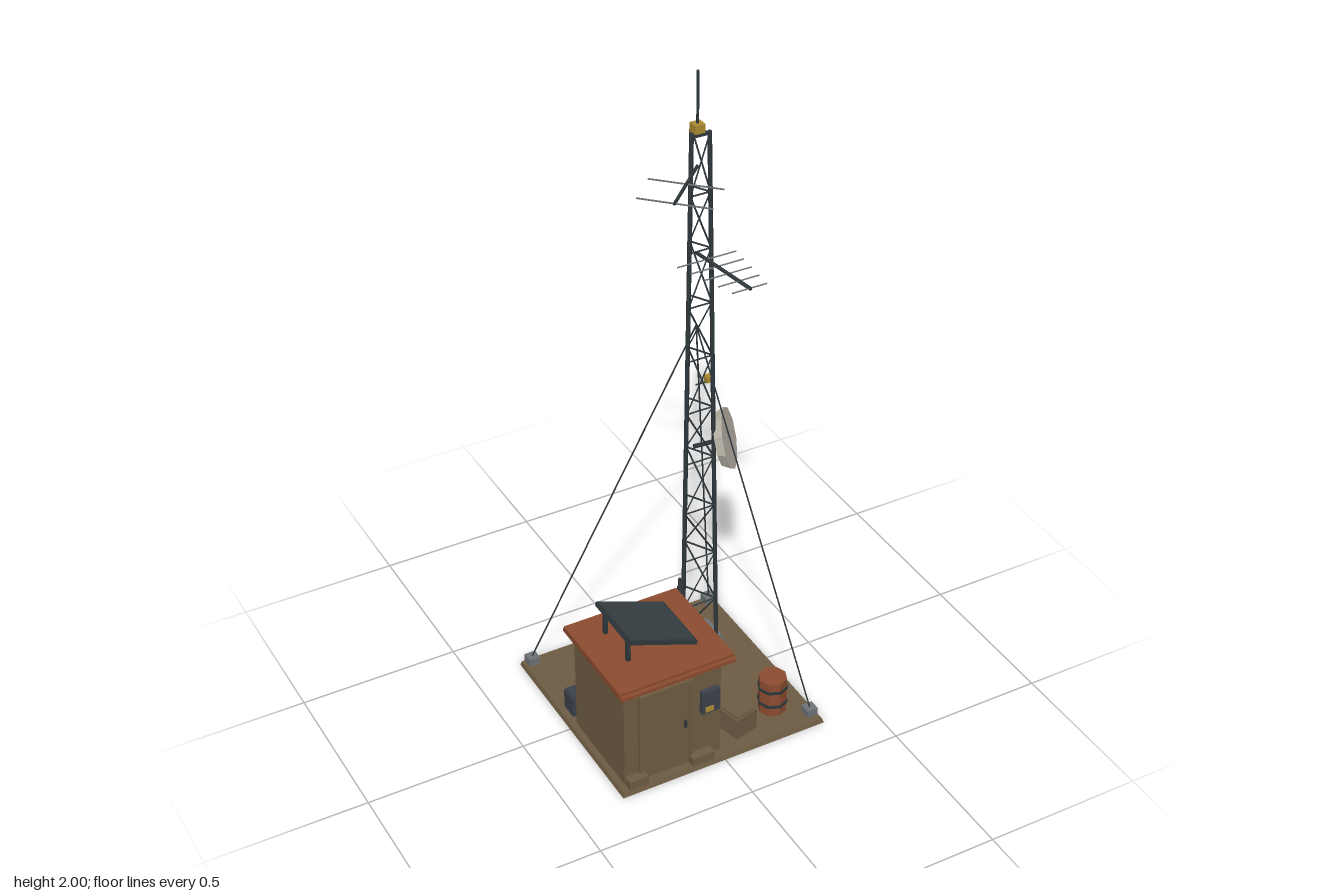
import * as THREE from 'three';

const mat = (name, color) => {
  const m = new THREE.MeshStandardMaterial({ color });
  m.name = name;
  return m;
};

export function createModel() {
  const earth = mat('earthBrown', 0x6e5c43);
  const rust = mat('rustOrange', 0x8c4c2f);
  const steel = mat('darkSteel', 0x2f373b);
  const panelGlass = mat('panelSlate', 0x394044);
  const slate = mat('slateBlue', 0x3c424c);
  const yellow = mat('warningYellow', 0xae8c32);
  const concrete = mat('concreteGrey', 0x6c7376);
  const dishWhite = mat('dishOffWhite', 0xbcb7aa);

  const model = new THREE.Group();
  model.name = 'radioStation';
  const V = (x, y, z) => new THREE.Vector3(x, y, z);
  const group = (name, parent = model) => {
    const g = new THREE.Group();
    g.name = name;
    parent.add(g);
    return g;
  };

  // Faceted mesh helper
  const add = (parent, name, geo, material, x = 0, y = 0, z = 0) => {
    const flat = geo.index ? geo.toNonIndexed() : geo;
    flat.computeVertexNormals();
    const m = new THREE.Mesh(flat, material);
    m.name = name;
    m.position.set(x, y, z);
    parent.add(m);
    return m;
  };
  // Box from its minimum and maximum corners
  const box = (parent, name, material, x0, x1, y0, y1, z0, z1) =>
    add(parent, name, new THREE.BoxGeometry(x1 - x0, y1 - y0, z1 - z0), material,
      (x0 + x1) / 2, (y0 + y1) / 2, (z0 + z1) / 2);
  // Round bar between two points
  const bar = (parent, name, material, a, b, r, sides = 6) => {
    const d = b.clone().sub(a);
    const m = add(parent, name, new THREE.CylinderGeometry(r, r, d.length(), sides), material);
    m.position.copy(a).add(b).multiplyScalar(0.5);
    m.quaternion.setFromUnitVectors(V(0, 1, 0), d.normalize());
    return m;
  };

  // Ground slab with a sloping rim
  const slab = new THREE.CylinderGeometry(0.338 * Math.SQRT2, 0.343 * Math.SQRT2, 0.015, 4);
  slab.rotateY(Math.PI / 4);
  add(model, 'ground', slab, earth, 0, 0.0075, 0);

  // Equipment hut
  const hut = group('hut');
  box(hut, 'walls', earth, -0.32, 0, 0.015, 0.366, 0, 0.308);
  box(hut, 'roof', rust, -0.343, 0.033, 0.364, 0.376, -0.025, 0.34);
  box(hut, 'roofTop', rust, -0.343, 0.033, 0.376, 0.385, -0.02, 0.328);
  box(hut, 'door', earth, -0.262, -0.108, 0.015, 0.322, 0.308, 0.312);
  box(hut, 'doorFrameTop', earth, -0.274, -0.096, 0.322, 0.334, 0.308, 0.318);
  for (const x of [-0.274, -0.108]) {
    box(hut, 'doorFrameSide', earth, x, x + 0.012, 0.015, 0.322, 0.308, 0.318);
  }
  box(hut, 'doorHandle', steel, -0.125, -0.117, 0.16, 0.185, 0.312, 0.32);
  box(hut, 'nameStrip', yellow, -0.295, -0.092, 0.34, 0.358, 0.308, 0.316);
  box(hut, 'meterBox', slate, -0.07, -0.01, 0.19, 0.272, 0.308, 0.324);
  box(hut, 'meterLabel', yellow, -0.06, -0.034, 0.198, 0.215, 0.324, 0.328);
  box(hut, 'footingLeft', earth, -0.318, -0.256, 0.015, 0.045, 0.308, 0.338);
  box(hut, 'footingRight', earth, -0.108, -0.035, 0.015, 0.045, 0.308, 0.338);
  box(hut, 'rearStep', earth, -0.06, 0.02, 0.015, 0.03, -0.02, 0.03);

  // Tilted solar panel on posts
  const solar = group('solarPanel');
  const tilted = group('panelBoard', solar);
  tilted.position.set(-0.157, 0.442, 0.144);
  tilted.rotation.z = -Math.atan2(0.085, 0.222);
  box(tilted, 'panelFrame', steel, -0.119, 0.119, -0.006, 0.006, -0.104, 0.104);
  box(tilted, 'panelFace', panelGlass, -0.111, 0.111, 0.006, 0.009, -0.096, 0.096);
  for (const z of [0.065, 0.205]) {
    box(solar, 'tallPost', steel, -0.256, -0.244, 0.384, 0.474, z - 0.006, z + 0.006);
    box(solar, 'shortPost', steel, -0.064, -0.052, 0.384, 0.404, z - 0.006, z + 0.006);
  }

  // Tower: hexagonal footing, three tapering legs, zigzag bracing
  const tower = group('tower');
  const cx = 0.172, cz = -0.155;
  add(tower, 'footing', new THREE.CylinderGeometry(0.085, 0.101, 0.042, 6), concrete, cx, 0.036, cz);
  const legPoint = (leg, level) => {
    const r = THREE.MathUtils.lerp(0.07, 0.033, level / 10);
    const a = Math.PI + leg * Math.PI * 2 / 3;
    return V(cx + r * Math.sin(a), 0.02 + level * 0.179, cz + r * Math.cos(a));
  };
  for (let leg = 0; leg < 3; leg++) {
    bar(tower, 'leg', steel, legPoint(leg, 0), legPoint(leg, 10.05), 0.0065);
    for (let k = 1; k <= 10; k++) {
      bar(tower, 'rung', steel, legPoint(leg, k), legPoint(leg + 1, k), 0.003, 4);
      const flip = k % 2;
      bar(tower, 'diagonal', steel, legPoint(leg + flip, k - 1), legPoint(leg + 1 - flip, k), 0.0028, 4);
    }
  }
  add(tower, 'topPlate', new THREE.CylinderGeometry(0.036, 0.036, 0.008, 3), steel, cx, 1.812, cz).rotation.y = Math.PI;
  box(tower, 'topBeacon', yellow, cx - 0.016, cx + 0.016, 1.812, 1.842, cz - 0.016, cz + 0.016);
  bar(tower, 'mast', steel, V(cx, 1.84, cz), V(cx, 2, cz), 0.004);
  box(tower, 'sideBeacon', yellow, 0.204, 0.224, 0.99, 1.01, cz - 0.01, cz + 0.01);
  bar(tower, 'beaconBracket', steel, V(cx, 0.99, cz), V(0.215, 0.99, cz), 0.003, 4);

  // Dish, aimed outwards and slightly up
  const dish = group('dish', tower);
  dish.position.set(0.27, 0.77, -0.15);
  dish.quaternion.setFromUnitVectors(V(0, 1, 0), V(0.78, 0.24, 0.57).normalize());
  add(dish, 'reflector', new THREE.CylinderGeometry(0.097, 0.084, 0.028, 10), dishWhite);
  add(dish, 'dishHub', new THREE.CylinderGeometry(0.02, 0.02, 0.016, 6), steel, 0, -0.02, 0);
  bar(tower, 'dishArm', steel, V(cx, 0.765, cz - 0.01), V(0.255, 0.765, -0.158), 0.007);

  // Two-element antenna
  const upper = group('upperAntenna', tower);
  bar(upper, 'boom', steel, V(cx, 1.71, cz), V(0.014, 1.71, 0), 0.005);
  for (const [x, z] of [[0.095, -0.081], [0.016, -0.002]]) {
    bar(upper, 'element', concrete, V(x - 0.076, 1.71, z - 0.076), V(x + 0.076, 1.71, z + 0.076), 0.0025, 4);
  }

  // Five-element antenna with shortening elements
  const lower = group('lowerAntenna', tower);
  bar(lower, 'boom', steel, V(cx, 1.435, cz), V(0.206, 1.435, 0.086), 0.006);
  for (let i = 0; i < 5; i++) {
    const z = -0.11 + i * 0.048, x = 0.179 + i * 0.0065, half = 0.095 - i * 0.01;
    bar(lower, 'element', concrete, V(x - half, 1.435, z), V(x + half, 1.435, z), 0.0025, 4);
  }

  // Cable conduit from hut to tower
  const conduit = group('conduit');
  const from = V(-0.005, 0.292, 0.1), to = V(0.12, 0.292, -0.155);
  bar(conduit, 'conduitPipe', steel, from, to, 0.0055);
  for (const t of [0.3, 0.85]) {
    const p = from.clone().lerp(to, t);
    add(conduit, 'conduitClamp', new THREE.BoxGeometry(0.014, 0.014, 0.014), steel, p.x, p.y, p.z).rotation.y = 0.46;
  }

  // Guy wires and their anchor blocks
  const guys = group('guyWires');
  for (const [x, z] of [[-0.311, -0.32], [0.318, -0.32], [0.318, 0.299]]) {
    box(guys, 'anchorBlock', concrete, x - 0.018, x + 0.018, 0.01, 0.04, z - 0.018, z + 0.018);
    bar(guys, 'guyWire', steel, V(x, 0.038, z), V(cx, 1.195, cz), 0.0025, 5);
  }

  // Fuel cans behind the hut
  const cans = group('fuelCans');
  [slate, yellow, slate].forEach((m, i) => {
    const x = -0.296 + i * 0.055;
    box(cans, 'can', m, x - 0.021, x + 0.021, 0.015, 0.08, -0.087, -0.029);
    box(cans, 'canTop', m, x - 0.018, x + 0.018, 0.08, 0.087, -0.084, -0.032);
  });

  // Crate
  const crate = group('crate');
  crate.position.set(0.095, 0.015, 0.248);
  crate.rotation.y = 0.25;
  box(crate, 'crateBody', earth, -0.041, 0.041, 0, 0.073, -0.041, 0.041);
  box(crate, 'crateLid', earth, -0.036, 0.036, 0.073, 0.079, -0.036, 0.036);

  // Octagonal barrel with dark hoops
  const barrel = group('barrel');
  barrel.position.set(0.232, 0.015, 0.222);
  add(barrel, 'drum', new THREE.CylinderGeometry(0.044, 0.044, 0.123, 8), rust, 0, 0.0615, 0);
  for (const y of [0.036, 0.09]) {
    add(barrel, 'hoop', new THREE.CylinderGeometry(0.0475, 0.0475, 0.009, 8), steel, 0, y, 0);
  }

  return model;
}
